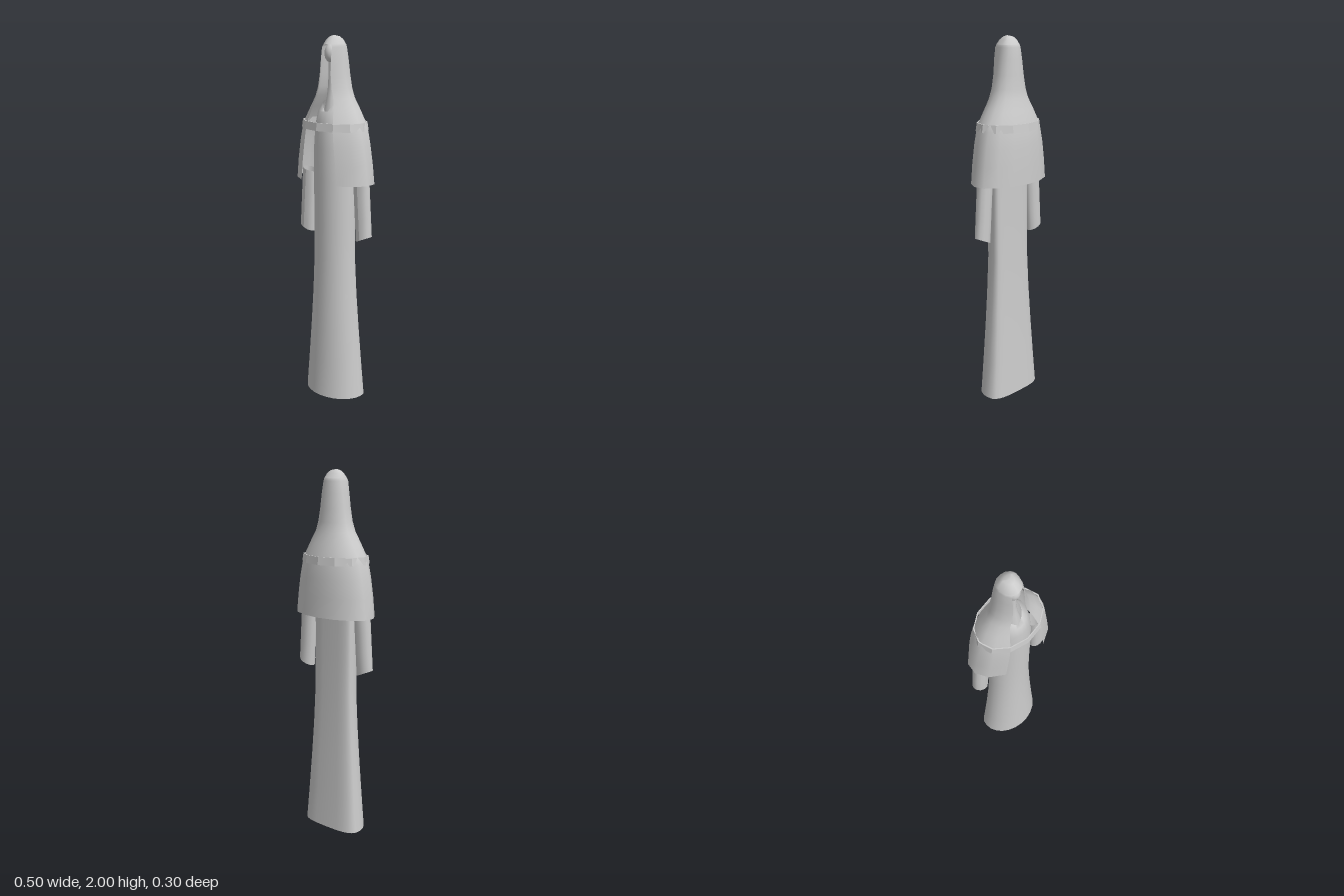
import * as THREE from 'three';
import { mergeVertices } from 'three/addons/utils/BufferGeometryUtils.js';

const cloth = new THREE.MeshStandardMaterial({ color: 0xcccccc, side: THREE.DoubleSide });
const flatCloth = new THREE.MeshStandardMaterial({ color: 0xcccccc, side: THREE.DoubleSide, flatShading: true });

// Skin rows of horizontal sections. row: [y, half width, front z, back z, half width of front opening]
// square < 1 flattens the back; dip lowers the front of the last row into a V.
function loft(rows, n, { zMid = -0.01, square = 1, dip = 0 } = {}) {
  const pos = [], idx = [];
  rows.forEach(([y, rx, zf, zb, open = 0], i) => {
    const a0 = rx > 0 ? Math.asin(Math.min(1, open / rx)) : 0;
    const mid = Math.min(zf, Math.max(zb, zMid));
    for (let j = 0; j <= n; j++) {
      const a = a0 + (2 * Math.PI - 2 * a0) * j / n;
      const s = Math.sin(a), c = Math.cos(a);
      const e = c < 0 ? square : 1;
      const x = rx * Math.sign(s) * Math.abs(s) ** e;
      const z = c > 0 ? mid + (zf - mid) * c : mid - (mid - zb) * Math.abs(c) ** e;
      const drop = i === rows.length - 1 ? dip * Math.max(0, c) ** 6 : 0;
      pos.push(x, y - drop, z);
    }
  });
  const w = n + 1;
  for (let i = 0; i < rows.length - 1; i++) {
    for (let j = 0; j < n; j++) {
      const a = i * w + j;
      idx.push(a, a + 1, a + w + 1, a, a + w + 1, a + w);
    }
  }
  let g = new THREE.BufferGeometry();
  g.setAttribute('position', new THREE.Float32BufferAttribute(pos, 3));
  g.setIndex(idx);
  g = mergeVertices(g, 1e-5);
  g.computeVertexNormals();
  return g;
}

export function createModel() {
  const model = new THREE.Group();
  const add = (name, geometry, material = cloth) => {
    const mesh = new THREE.Mesh(geometry, material);
    mesh.name = name;
    model.add(mesh);
    return mesh;
  };

  // Long robe, open at the hem, with a V at the collar
  add('robe', loft([
    [0, 0.185, 0.132, -0.087],
    [0.2, 0.168, 0.122, -0.076],
    [0.4, 0.152, 0.113, -0.066],
    [0.6, 0.138, 0.106, -0.057],
    [0.8, 0.128, 0.101, -0.051],
    [1.0, 0.126, 0.101, -0.047],
    [1.24, 0.125, 0.104, -0.045],
    [1.42, 0.12, 0.106, -0.045],
    [1.54, 0.108, 0.102, -0.045],
    [1.61, 0.09, 0.09, -0.042],
    [1.66, 0.06, 0.068, -0.038],
  ], 24, { square: 0.65, dip: 0.06 }));

  // Hood and shoulder cape in one piece, open down the front
  add('hoodedCape', loft([
    [1.235, 0.248, 0.15, -0.148, 0.128],
    [1.34, 0.236, 0.149, -0.146, 0.117],
    [1.44, 0.219, 0.146, -0.142, 0.105],
    [1.52, 0.2, 0.141, -0.135, 0.095],
    [1.56, 0.184, 0.131, -0.125, 0.088],
    [1.62, 0.15, 0.114, -0.108, 0.077],
    [1.68, 0.114, 0.098, -0.088, 0.062],
    [1.73, 0.096, 0.088, -0.08, 0.046],
    [1.8, 0.082, 0.083, -0.074, 0.037],
    [1.88, 0.071, 0.081, -0.068, 0.035],
    [1.94, 0.061, 0.076, -0.061, 0.035],
    [1.952, 0.057, 0.069, -0.057, 0.028],
    [1.955, 0.056, 0.067, -0.055],
    [1.978, 0.043, 0.05, -0.04],
    [1.993, 0.025, 0.03, -0.02],
    [2, 0, 0.008, 0.008],
  ], 12));

  // Twelve-sided hoop around the shoulders
  const hoop = new THREE.LatheGeometry([
    [0.96, 1.515], [1, 1.515], [0.965, 1.557], [0.93, 1.557], [0.96, 1.515],
  ].map(([r, y]) => new THREE.Vector2(r, y)), 12);
  hoop.scale(0.2, 1, 0.147);
  add('shoulderBand', hoop, flatCloth);

  // Hanging open sleeves: slanted ends, built as stacked tilted ovals
  for (const side of [1, -1]) {
    const sleeve = new THREE.CylinderGeometry(0.046, 0.046, 1, 12, 3, true);
    const p = sleeve.attributes.position;
    for (let i = 0; i < p.count; i++) {
      const x = p.getX(i), t = p.getY(i) + 0.5;
      p.setXYZ(i,
        side * (0.206 - 0.022 * t + x),
        THREE.MathUtils.lerp(0.935 + x * 0.43, 1.27 + x * 0.2, t),
        -0.003 + p.getZ(i) * 0.83);
    }
    if (side < 0) {
      // restore outward winding on the mirrored sleeve
      const ix = sleeve.index.array;
      for (let i = 0; i < ix.length; i += 3) [ix[i], ix[i + 1]] = [ix[i + 1], ix[i]];
    }
    sleeve.computeVertexNormals();
    add(side > 0 ? 'leftSleeve' : 'rightSleeve', sleeve);
  }

  // Slim neck flaring into the collar
  const neck = new THREE.LatheGeometry([
    [0.05, 1.56], [0.042, 1.62], [0.03, 1.68], [0.022, 1.75], [0.02, 1.88],
  ].map(([r, y]) => new THREE.Vector2(r, y)), 12);
  neck.translate(0, 0, 0.02);
  add('neck', neck);

  // Small head inside the hood
  const head = add('head', new THREE.SphereGeometry(1, 16, 12));
  head.scale.set(0.036, 0.05, 0.04);
  head.position.set(0, 1.908, 0.025);

  return model;
}
